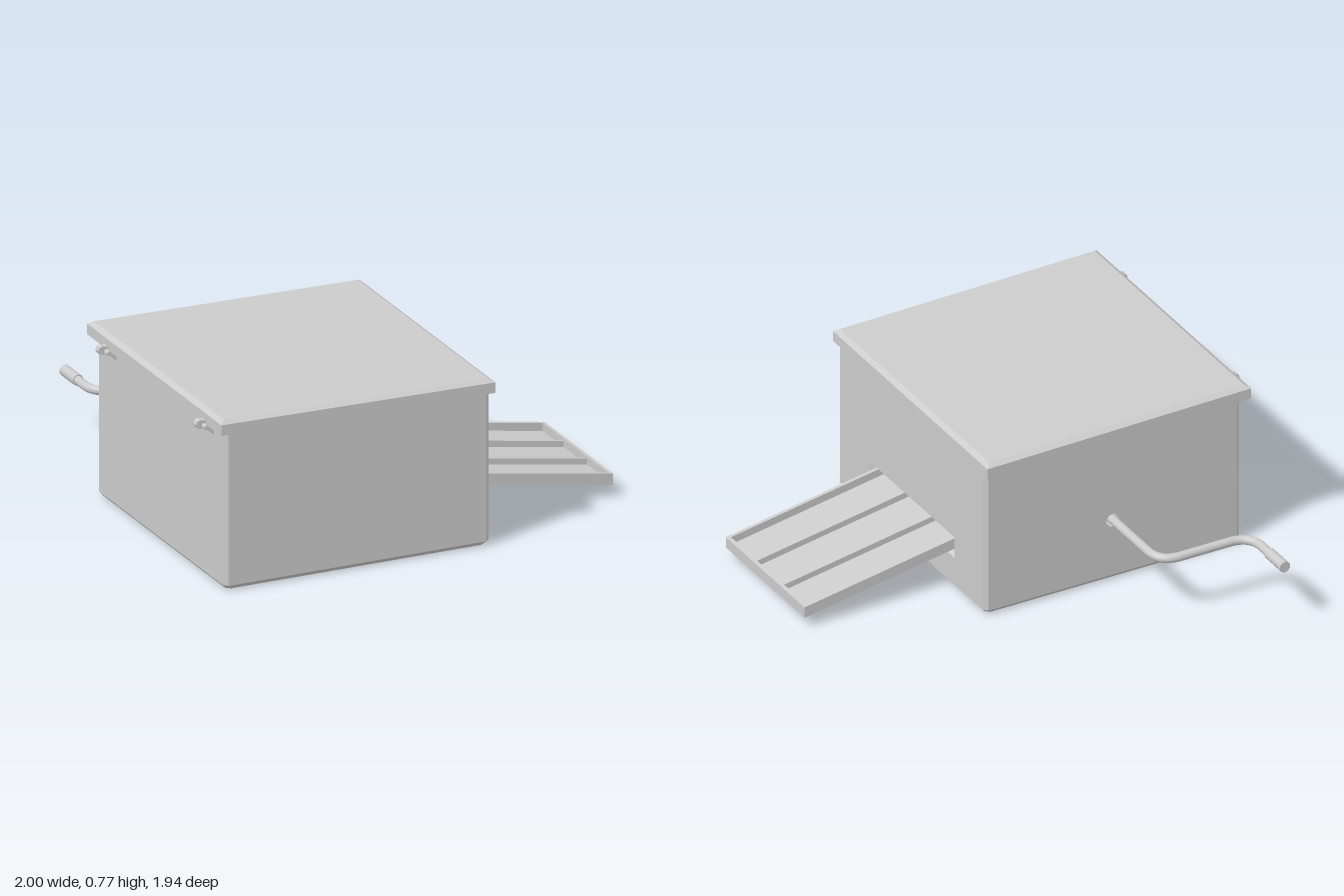
import * as THREE from 'three';

const mat = new THREE.MeshStandardMaterial({ color: 0xcccccc, flatShading: true });
const matDouble = new THREE.MeshStandardMaterial({ color: 0xcccccc, flatShading: true, side: THREE.DoubleSide });
const matSmooth = new THREE.MeshStandardMaterial({ color: 0xcccccc });

function add(parent, name, geometry, material = mat) {
  const mesh = new THREE.Mesh(geometry, material);
  mesh.name = name;
  parent.add(mesh);
  return mesh;
}

// Skin over successive rings of points, with optional flat caps
function loft(rings, capped = true) {
  const pos = [];
  const tri = (...p) => p.forEach((v) => pos.push(...v));
  for (let r = 0; r < rings.length - 1; r++) {
    const [lo, hi] = [rings[r], rings[r + 1]];
    lo.forEach((a, i) => {
      const j = (i + 1) % lo.length;
      tri(a, lo[j], hi[j]);
      tri(a, hi[j], hi[i]);
    });
  }
  if (capped) {
    const first = rings[0], last = rings[rings.length - 1];
    for (let i = 1; i < first.length - 1; i++) {
      tri(first[0], first[i + 1], first[i]);
      tri(last[0], last[i], last[i + 1]);
    }
  }
  const g = new THREE.BufferGeometry();
  g.setAttribute('position', new THREE.Float32BufferAttribute(pos, 3));
  g.computeVertexNormals();
  return g;
}

// Slope a geometry along x while keeping its ends vertical
function slope(geometry, k, x0 = 0) {
  const p = geometry.attributes.position;
  for (let i = 0; i < p.count; i++) p.setY(i, p.getY(i) + k * (p.getX(i) - x0));
  geometry.computeVertexNormals();
  return geometry;
}

function boxBetween(x0, x1, y0, y1, z0, z1) {
  return new THREE.BoxGeometry(x1 - x0, y1 - y0, z1 - z0)
    .translate((x0 + x1) / 2, (y0 + y1) / 2, (z0 + z1) / 2);
}

const CX = -0.3175, CZ = 0.33; // body centre
const HX = 0.6125, HZ = 0.615; // body half sizes
const CH = 0.018, RIM = 0.71, WALL = 0.03;

function buildBody() {
  const body = new THREE.Group();
  body.name = 'body';

  // Base plate with chamfered lower edge
  const octagon = (y, inset) => {
    const a = HX - inset, b = HZ - inset;
    return [[a, b - CH], [a, CH - b], [a - CH, -b], [CH - a, -b],
      [-a, CH - b], [-a, b - CH], [CH - a, b], [a - CH, b]].map(([x, z]) => [CX + x, y, CZ + z]);
  };
  add(body, 'base', loft([octagon(0, 0.018), octagon(0.02, 0)]));

  // Side walls: the right has the slot, the back has the crank hole
  const slot = new THREE.Path([[-0.36, 0.15], [0.36, 0.15], [0.36, 0.25], [-0.36, 0.25]]
    .map(([u, v]) => new THREE.Vector2(u, v)));
  const crankHole = new THREE.Path().absarc(0, 0.283, 0.03, 0, Math.PI * 2);
  const walls = [
    ['frontWall', HX, HZ, 0, null], ['slotWall', HZ, HX, Math.PI / 2, slot],
    ['backWall', HX, HZ, Math.PI, crankHole], ['hingeWall', HZ, HX, -Math.PI / 2, null],
  ];
  for (const [name, half, dist, angle, hole] of walls) {
    const w = half - CH;
    const shape = new THREE.Shape([[-w, 0.02], [w, 0.02], [w, RIM], [-w, RIM]]
      .map(([u, v]) => new THREE.Vector2(u, v)));
    if (hole) shape.holes.push(hole);
    const g = new THREE.ExtrudeGeometry(shape, { depth: WALL, bevelEnabled: false, curveSegments: 10 });
    g.translate(0, 0, dist - WALL).rotateY(angle).translate(CX, 0, CZ);
    add(body, name, g);
  }

  // Chamfered corner posts
  for (const sx of [-1, 1]) for (const sz of [-1, 1]) {
    add(body, 'cornerPost', new THREE.CylinderGeometry(CH, CH, RIM - 0.02, 4)
      .translate(CX + sx * (HX - CH), (RIM + 0.02) / 2, CZ + sz * (HZ - CH)));
  }

  // Flared lining of the slot
  const frame = (x, half, y0, y1) =>
    [[x, y0, CZ - half], [x, y0, CZ + half], [x, y1, CZ + half], [x, y1, CZ - half]];
  const face = CX + HX;
  add(body, 'slotLining', loft([frame(face, 0.36, 0.15, 0.25),
    frame(face - WALL, 0.332, 0.167, 0.228), frame(face - 0.12, 0.332, 0.167, 0.25)], false), matDouble);
  return body;
}

// Hollow lid, bevelled on top and slightly tilted
function buildLid() {
  const ring = (y, inset) => {
    const x0 = -0.957 + inset, x1 = 0.305 - inset, z0 = -0.325 + inset, z1 = 0.97 - inset;
    return [[x1, y, z1], [x1, y, z0], [x0, y, z0], [x0, y, z1]];
  };
  return slope(loft([ring(0.73, 0.008), ring(0.69, 0.008), ring(0.69, 0),
    ring(0.737, 0), ring(0.752, 0.022)]), -0.016);
}

// Sloping tray with raised rims and two dividers
function buildTray() {
  const tray = new THREE.Group();
  tray.name = 'tray';
  const x0 = 0.21, x1 = 0.995, y0 = 0.17, y1 = 0.22, z0 = 0, z1 = 0.66, t = 0.016;
  const part = (name, ...b) => add(tray, name, slope(boxBetween(...b), -0.171, 0.295));
  part('trayFloor', x0, x1 - t, y0, y0 + 0.015, z0 + t, z1 - t);
  part('trayRail', x0, x1, y0, y1, z0, z0 + t);
  part('trayRail', x0, x1, y0, y1, z1 - t, z1);
  part('trayEnd', x1 - t, x1, y0, y1, z0 + t, z1 - t);
  for (const z of [0.215, 0.44]) part('trayDivider', x0, x1 - t, y0 + 0.015, y1 - 0.008, z - 0.006, z + 0.006);
  return tray;
}

function buildCrank() {
  const crank = new THREE.Group();
  crank.name = 'crank';
  const y = 0.283;
  const v = (x, z) => new THREE.Vector3(x, y, z);
  const path = new THREE.CurvePath();
  path.add(new THREE.LineCurve3(v(-0.32, -0.2), v(-0.32, -0.58)));
  path.add(new THREE.QuadraticBezierCurve3(v(-0.32, -0.58), v(-0.32, -0.68), v(-0.42, -0.68)));
  path.add(new THREE.LineCurve3(v(-0.42, -0.68), v(-0.65, -0.68)));
  path.add(new THREE.QuadraticBezierCurve3(v(-0.65, -0.68), v(-0.75, -0.68), v(-0.75, -0.78)));
  path.add(new THREE.LineCurve3(v(-0.75, -0.78), v(-0.75, -0.9)));
  add(crank, 'crankRod', new THREE.TubeGeometry(path, 80, 0.02, 14), matSmooth);
  add(crank, 'crankGrip', new THREE.CylinderGeometry(0.025, 0.025, 0.13, 16)
    .rotateX(Math.PI / 2).translate(-0.75, y, -0.907), matSmooth);
  return crank;
}

// Hinge: long pin, wide middle knuckle and brackets to lid and wall
function buildHinge(z) {
  const hinge = new THREE.Group();
  hinge.name = 'hinge';
  const knuckle = (name, r, len, x, y) =>
    add(hinge, name, new THREE.CylinderGeometry(r, r, len, 8).rotateX(Math.PI / 2).translate(x, y, 0));
  knuckle('hingePin', 0.011, 0.09, -0.964, 0.699);
  knuckle('hingeKnuckle', 0.02, 0.03, -0.98, 0.705);
  add(hinge, 'hingeArm', boxBetween(-0.98, -0.945, 0.695, 0.722, -0.015, 0.015));
  for (const s of [-1, 1]) {
    const bracket = add(hinge, 'hingeBracket', new THREE.BoxGeometry(0.05, 0.014, 0.025));
    bracket.position.set(-0.945, 0.684, s * 0.03);
    bracket.rotation.z = -0.75;
  }
  hinge.position.z = z;
  return hinge;
}

export function createModel() {
  const model = new THREE.Group();
  model.name = 'lidded box with crank and tray';
  model.add(buildBody(), buildTray(), buildCrank());
  add(model, 'lid', buildLid());
  for (const z of [-0.14, 0.8]) model.add(buildHinge(z));
  return model;
}
